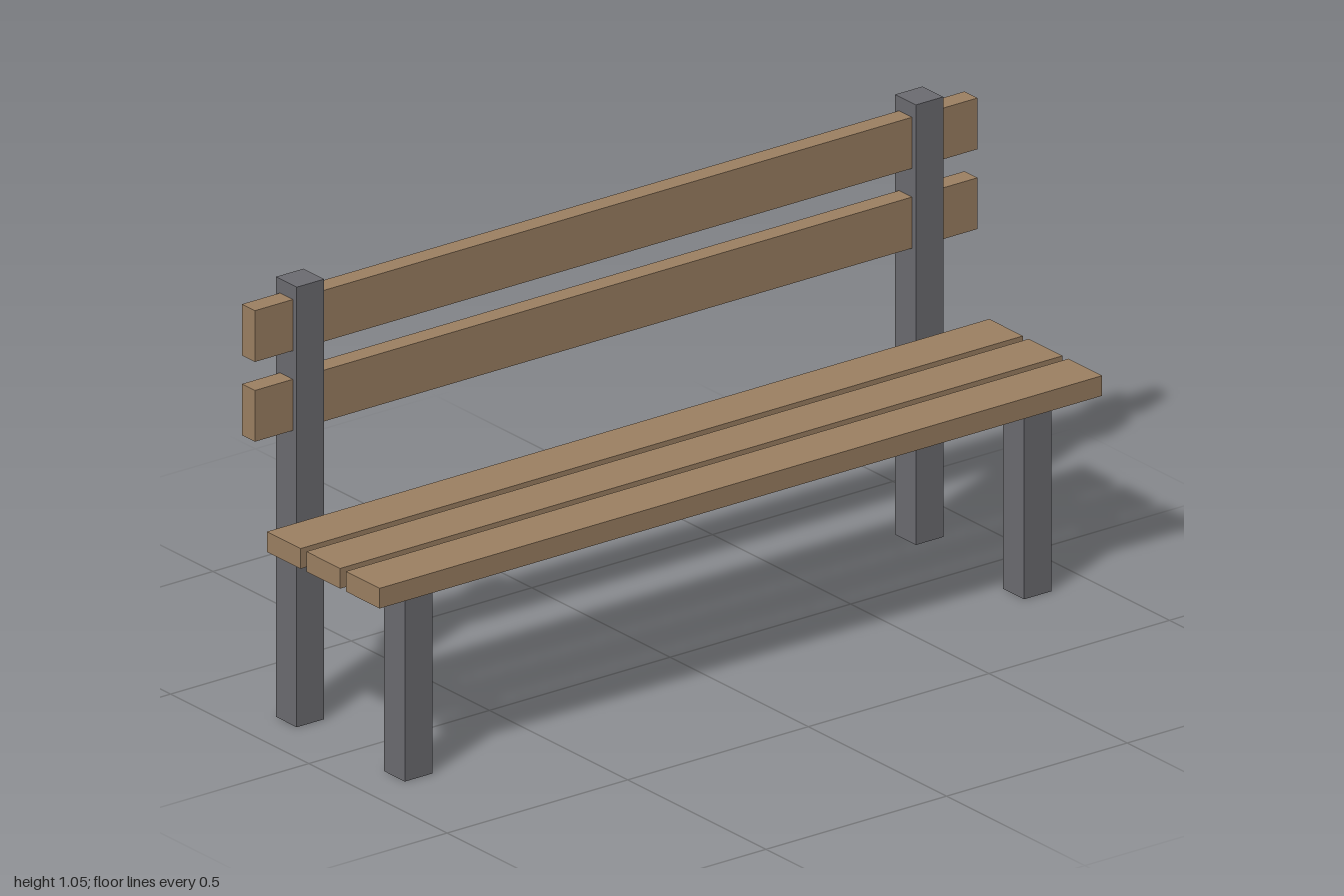
import * as THREE from 'three';

const wood = new THREE.MeshStandardMaterial({ color: 0x9c8062 });
const metal = new THREE.MeshStandardMaterial({ color: 0x6c6c71 });

// Box given by its lower and upper limits on each axis
function box(name, material, [x0, x1], [y0, y1], [z0, z1]) {
  const mesh = new THREE.Mesh(new THREE.BoxGeometry(x1 - x0, y1 - y0, z1 - z0), material);
  mesh.position.set((x0 + x1) / 2, (y0 + y1) / 2, (z0 + z1) / 2);
  mesh.name = name;
  return mesh;
}

export function createModel() {
  const bench = new THREE.Group();
  bench.name = 'bench';

  // Metal side frames: tall rear post, short front leg, seat rail between them
  for (const [side, x] of [['left', 0.857], ['right', -0.857]]) {
    const frame = new THREE.Group();
    frame.name = side + 'Frame';
    const width = [x - 0.038, x + 0.038];
    frame.add(
      box('rearPost', metal, width, [0, 1.048], [-0.256, -0.181]),
      box('frontLeg', metal, width, [0, 0.483], [0.135, 0.21]),
      box('seatRail', metal, width, [0.427, 0.483], [-0.181, 0.135])
    );
    bench.add(frame);
  }

  // Three seat slats, evenly spaced from the front edge backwards
  for (let i = 0; i < 3; i++) {
    const front = 0.256 - i * 0.143;
    bench.add(box('seatSlat' + (i + 1), wood, [-1, 1], [0.454, 0.502], [front - 0.122, front]));
  }

  // Two backrest slats, set into the rear posts
  [0.702, 0.892].forEach((y, i) => {
    bench.add(box('backSlat' + (i + 1), wood, [-1, 1], [y, y + 0.122], [-0.242, -0.195]));
  });

  return bench;
}
